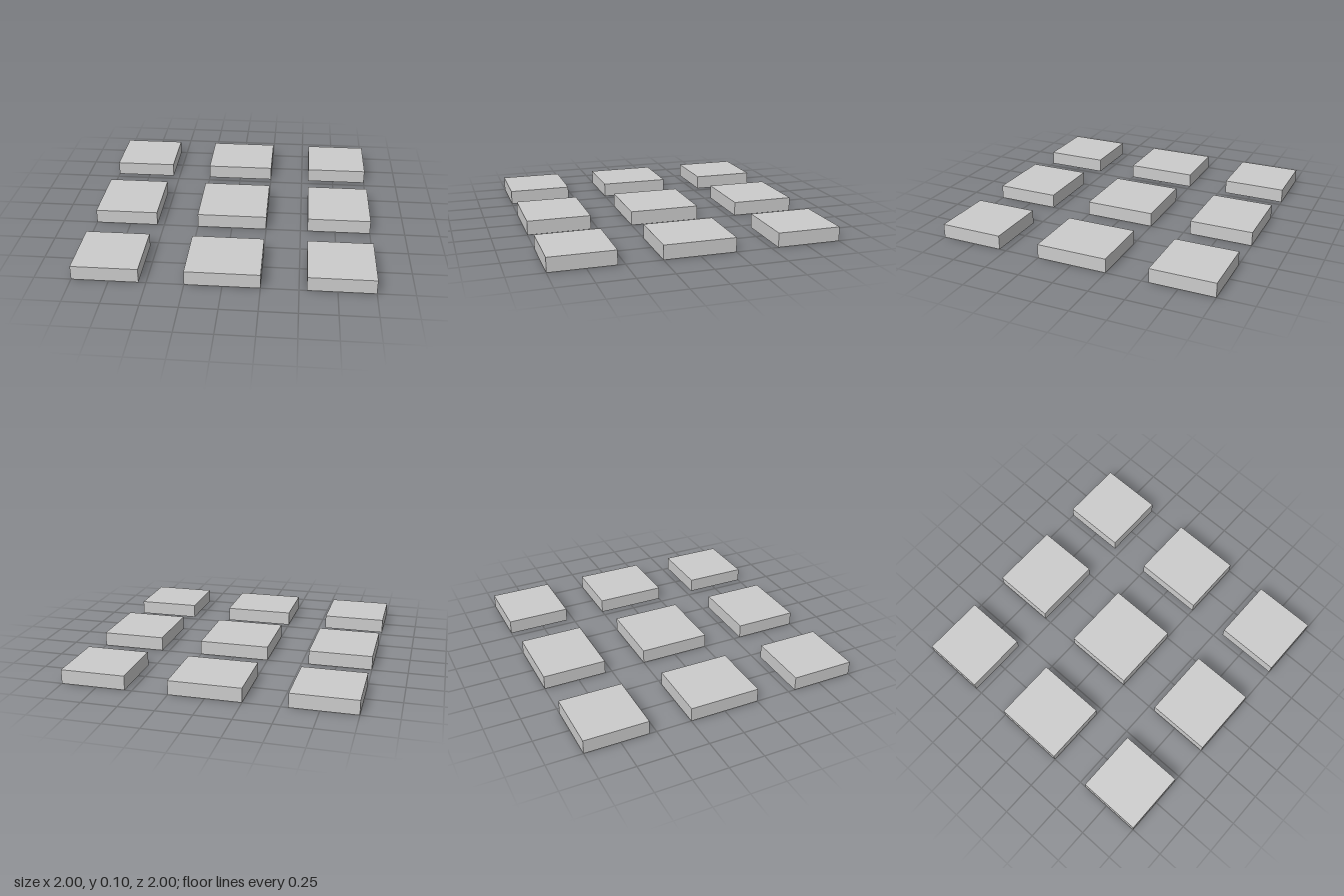
import * as THREE from 'three';

export function createModel() {
  const model = new THREE.Group();
  model.name = 'tileGrid';
  const material = new THREE.MeshStandardMaterial({ color: 0xcccccc, flatShading: true });
  const height = 0.1;

  // Spans shared by both axes: narrower outer strips around a wider middle one
  const spans = [
    { centre: -0.775, size: 0.45 },
    { centre: 0, size: 0.5 },
    { centre: 0.775, size: 0.45 },
  ];
  const rows = ['back', 'middle', 'front'];
  const columns = ['Right', 'Centre', 'Left'];

  // Three by three separate slabs
  spans.forEach((z, row) => {
    spans.forEach((x, column) => {
      const slab = new THREE.Mesh(new THREE.BoxGeometry(x.size, height, z.size), material);
      slab.name = `${rows[row]}${columns[column]}Slab`;
      slab.position.set(x.centre, height / 2, z.centre);
      model.add(slab);
    });
  });

  return model;
}
